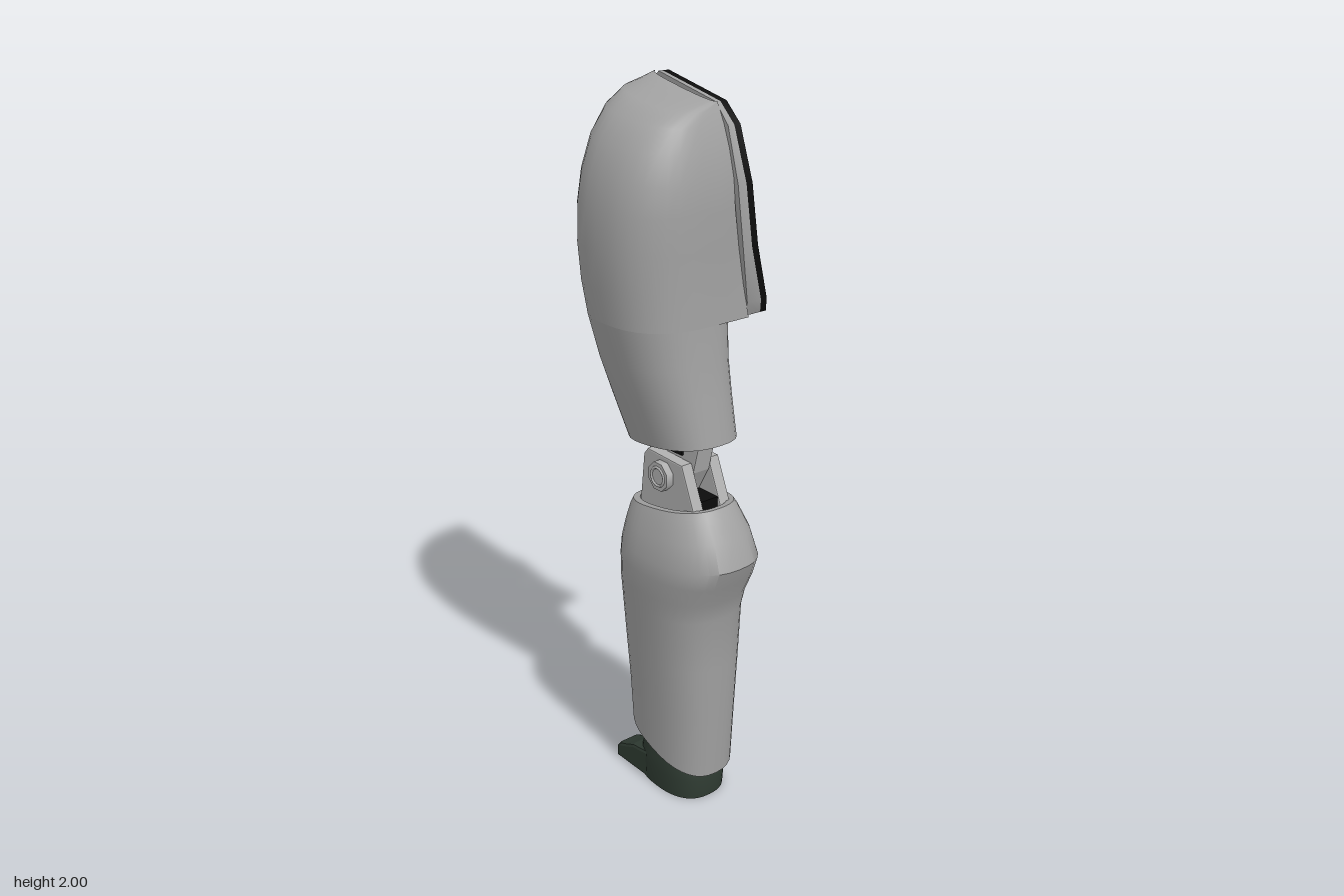
import * as THREE from 'three';
import { toCreasedNormals } from 'three/addons/utils/BufferGeometryUtils.js';

const material = (name, color, side = THREE.FrontSide) => {
  const m = new THREE.MeshStandardMaterial({ color, side });
  m.name = name;
  return m;
};

// Skins a list of rings; closed joins the ring ends, caps close the first and last ring
function loft(rings, { closed = true, capStart = false, capEnd = false, crease = 0.7 } = {}) {
  const n = rings[0].length, pos = rings.flat(2), index = [];
  for (let i = 0; i < rings.length - 1; i++) {
    for (let j = 0; j < (closed ? n : n - 1); j++) {
      const a = i * n + j, b = i * n + (j + 1) % n;
      index.push(a, a + n, b, b, a + n, b + n);
    }
  }
  const cap = (ring, start, flip) => {
    const c = pos.length / 3;
    for (let k = 0; k < 3; k++) pos.push(ring.reduce((s, p) => s + p[k], 0) / n);
    for (let j = 0; j < n; j++) {
      const a = start + j, b = start + (j + 1) % n;
      index.push(c, flip ? a : b, flip ? b : a);
    }
  };
  if (capStart) cap(rings[0], 0, true);
  if (capEnd) cap(rings[rings.length - 1], (rings.length - 1) * n, false);
  const g = new THREE.BufferGeometry();
  g.setAttribute('position', new THREE.Float32BufferAttribute(pos, 3));
  g.setIndex(index);
  return toCreasedNormals(g, crease);
}

// Rounded cross-section from a row: y, left x, right x, centre z, front z, back z, tilt
function section([y, x0, x1, cz, zf, zb, tilt], { inset = 0, drop = 0, rim = null } = {}) {
  const cx = (x0 + x1) / 2, a = (x1 - x0) / 2 - inset, ring = [];
  const at = (x, z) => [x, y - drop + tilt * (x - cx), z];
  const half = 18, count = rim === null ? half * 2 : half + 1;
  if (rim !== null) ring.push(at(cx + a, rim), at(cx + a, (rim + cz) / 2));
  for (let j = 0; j < count; j++) {
    const t = j / half * Math.PI, c = Math.cos(t), s = Math.sin(t);
    const e = 2 / 2.45;
    const b = s >= 0 ? zf - cz - inset : cz - zb - inset;
    ring.push(at(cx + a * Math.sign(c) * Math.abs(c) ** e, cz + b * Math.sign(s) * Math.abs(s) ** e));
  }
  if (rim !== null) ring.push(at(cx - a, (rim + cz) / 2), at(cx - a, rim));
  return ring;
}

// Linear lookup in [y, value] pairs with y rising
function lookup(table, y) {
  if (y <= table[0][0]) return table[0][1];
  for (let i = 1; i < table.length; i++) {
    const [y0, v0] = table[i - 1], [y1, v1] = table[i];
    if (y <= y1) return v0 + (v1 - v0) * (y - y0) / (y1 - y0);
  }
  return table[table.length - 1][1];
}

// Side outline in x and y, given thickness around a centre z
function plate(points, z, depth, bevel = 0.004) {
  const shape = new THREE.Shape(points.map(p => new THREE.Vector2(...p)));
  const g = new THREE.ExtrudeGeometry(shape, {
    depth: depth - 2 * bevel, bevelThickness: bevel, bevelSize: bevel, bevelOffset: -bevel, bevelSegments: 2,
  });
  return g.translate(0, 0, z - depth / 2 + bevel);
}

export function createModel() {
  const shell = material('shell grey', 0xa0a0a0);
  const openShell = material('open shell grey', 0xa0a0a0, THREE.DoubleSide);
  const metal = material('joint grey', 0xb0b0b0);
  const black = material('black trim', 0x0c0c0c, THREE.DoubleSide);
  const green = material('dark green', 0x2e3a31);
  const model = new THREE.Group();
  model.name = 'leg';
  const add = (name, geometry, mat, parent = model) => {
    const mesh = new THREE.Mesh(geometry, mat);
    mesh.name = name;
    parent.add(mesh);
    return mesh;
  };

  // Thigh: closed sleeve below, socket open to the back above
  const rimFront = [[1.41, -0.13], [1.55, -0.105], [1.7, -0.085], [2, -0.08]];
  const rimBack = [[1.41, -0.207], [1.5, -0.17], [1.6, -0.148], [1.75, -0.132], [2, -0.127]];
  const sleeve = [
    [1.08, -0.135, 0.18, 0, 0.115, -0.12, 0.12],
    [1.2, -0.178, 0.16, 0, 0.145, -0.12, 0.08],
    [1.3, -0.21, 0.145, 0, 0.17, -0.122, 0.04],
    [1.41, -0.235, 0.135, 0, 0.192, -0.13, 0],
  ];
  const socket = [
    sleeve[3],
    [1.5, -0.248, 0.13, 0, 0.203, 0, 0],
    [1.6, -0.253, 0.128, 0, 0.21, 0, 0],
    [1.7, -0.252, 0.128, 0, 0.207, 0, 0],
    [1.78, -0.245, 0.122, 0, 0.193, 0, -0.03],
    [1.86, -0.23, 0.105, 0, 0.163, 0, -0.08],
    [1.92, -0.212, 0.085, 0, 0.115, 0, -0.12],
    [1.955, -0.197, 0.07, -0.03, 0.06, 0, -0.16],
    [1.977, -0.185, 0.06, -0.08, -0.06, 0, -0.19],
  ];
  const thigh = new THREE.Group();
  thigh.name = 'thigh';
  model.add(thigh);
  add('thighSleeve', loft(sleeve.map(r => section(r)), { capStart: true }), openShell, thigh);
  add('thighSocket', loft(socket.map(r => section(r, { rim: lookup(rimFront, r[0]) })), { closed: false }), openShell, thigh);
  const floor = section(sleeve[2], { inset: 0.004 });
  add('socketFloor', loft([floor, section(sleeve[2], { inset: 0.03, drop: 0.02 })], { capEnd: true }), openShell, thigh);

  // Flared rim around the socket opening
  const loop = [
    [0.12, 1.41], [0.137, 1.45], [0.145, 1.6], [0.138, 1.76], [0.1, 1.9], [0.055, 1.952], [-0.17, 2],
    [-0.2, 1.975], [-0.24, 1.87], [-0.27, 1.75], [-0.27, 1.48], [-0.25, 1.412], [-0.06, 1.4],
  ];
  const rimRing = (inner, depth) => loop.map(([x, y]) => {
    const bow = 0.02 * Math.max(0, 1 - ((x + 0.06) / 0.2) ** 2);
    const zb = lookup(rimBack, y) + bow, zf = lookup(rimFront, y);
    const z = depth === 'front' ? zf : depth === 'middle' ? zb + 0.02 : zb;
    return inner ? [-0.06 + (x + 0.06) * 0.89, 1.7 + (y - 1.7) * 0.93, z] : [x, y, z];
  });
  const f0 = rimRing(true, 'front'), f1 = rimRing(false, 'front'), mid = rimRing(false, 'middle');
  const b1 = rimRing(false, 'back'), b0 = rimRing(true, 'back');
  add('rimBand', loft([f0, f1, mid]), openShell, thigh);
  add('rimOuterTrim', loft([mid, b1]), black, thigh);
  add('rimBackFace', loft([b1, b0]), openShell, thigh);
  add('rimInnerTrim', loft([b0, f0]), black, thigh);

  // Shin sleeve with the bulge below the knee
  const shinRows = [
    [0.14, -0.135, 0.18, 0, 0.11, -0.115, -0.32],
    [0.3, -0.14, 0.188, 0, 0.118, -0.122, -0.15],
    [0.45, -0.148, 0.195, 0, 0.128, -0.13, -0.05],
    [0.6, -0.153, 0.2, 0, 0.14, -0.138, 0],
    [0.66, -0.155, 0.216, 0, 0.147, -0.142, 0],
    [0.72, -0.155, 0.245, 0, 0.151, -0.146, 0],
    [0.77, -0.152, 0.265, 0, 0.149, -0.145, 0.02],
    [0.83, -0.146, 0.235, 0, 0.13, -0.135, 0.08],
    [0.88, -0.138, 0.192, 0, 0.109, -0.12, 0.15],
    [0.895, -0.132, 0.178, 0, 0.1, -0.113, 0.16],
  ];
  const low = shinRows[0], high = shinRows[shinRows.length - 1];
  const topInner = section(high, { inset: 0.018, drop: 0.02 });
  const lowInner = section(low, { inset: 0.015, drop: -0.03 });
  add('shin', loft([
    lowInner, section(low, { inset: 0.015 }), ...shinRows.map(r => section(r)),
    section(high, { inset: 0.018 }), topInner,
  ]), shell);
  add('shinTopInside', loft([topInner, section(high, { inset: 0.04, drop: 0.021 })], { capEnd: true }), black);
  add('shinBottomInside', loft([section(low, { inset: 0.04, drop: -0.031 }), lowInner], { capStart: true }), black);

  // Knee joint: central link between two cheek plates, held by a pin
  const knee = new THREE.Group();
  knee.name = 'knee';
  knee.position.z = -0.004;
  model.add(knee);
  add('kneeLink', plate([[-0.115, 1.075], [-0.06, 0.96], [-0.02, 0.93], [0.06, 0.93], [0.1, 1.0], [0.125, 1.095]], 0, 0.056), metal, knee);
  for (const side of [1, -1]) {
    add('kneeCheek', plate([[-0.085, 0.85], [0.165, 0.86], [0.145, 0.91], [0.095, 1.03], [-0.05, 1.035], [-0.066, 1.015]], side * 0.046, 0.035), metal, knee);
    const head = add('pinHead', new THREE.CylinderGeometry(0.042, 0.042, 0.025, 8), metal, knee);
    head.rotation.set(Math.PI / 2, Math.PI / 8, 0);
    head.position.set(0.02, 0.98, side * 0.072);
    const washer = add('pinRing', new THREE.TorusGeometry(0.026, 0.004, 6, 20), metal, knee);
    washer.position.set(0.02, 0.98, side * 0.0845);
  }
  add('kneeStop', new THREE.BoxGeometry(0.07, 0.035, 0.07), black, knee).position.set(0.025, 1.058, 0);
  add('kneePad', new THREE.BoxGeometry(0.2, 0.05, 0.06), black, knee).position.set(0.035, 0.905, 0);

  // Foot: ankle and heel block with two split toes
  const foot = new THREE.Group();
  foot.name = 'foot';
  model.add(foot);
  const heel = [
    [0, -0.105, 0.152, 0, 0.092, -0.1, 0],
    [0.06, -0.105, 0.155, 0, 0.095, -0.104, 0],
    [0.095, -0.098, 0.146, 0, 0.092, -0.1, 0],
    [0.14, -0.086, 0.132, 0, 0.085, -0.092, 0],
    [0.2, -0.08, 0.125, 0, 0.08, -0.086, 0],
  ];
  add('heelAndAnkle', loft(heel.map(r => section(r)), { capStart: true, capEnd: true }), green, foot);
  const toe = [[-0.175, 0], [-0.02, 0], [-0.02, 0.09], [-0.095, 0.08], [-0.125, 0.066], [-0.16, 0.052], [-0.175, 0.035]];
  for (const side of [1, -1]) add('toe', plate(toe, side * 0.055 - 0.004, 0.076, 0.01), green, foot);

  return model;
}
